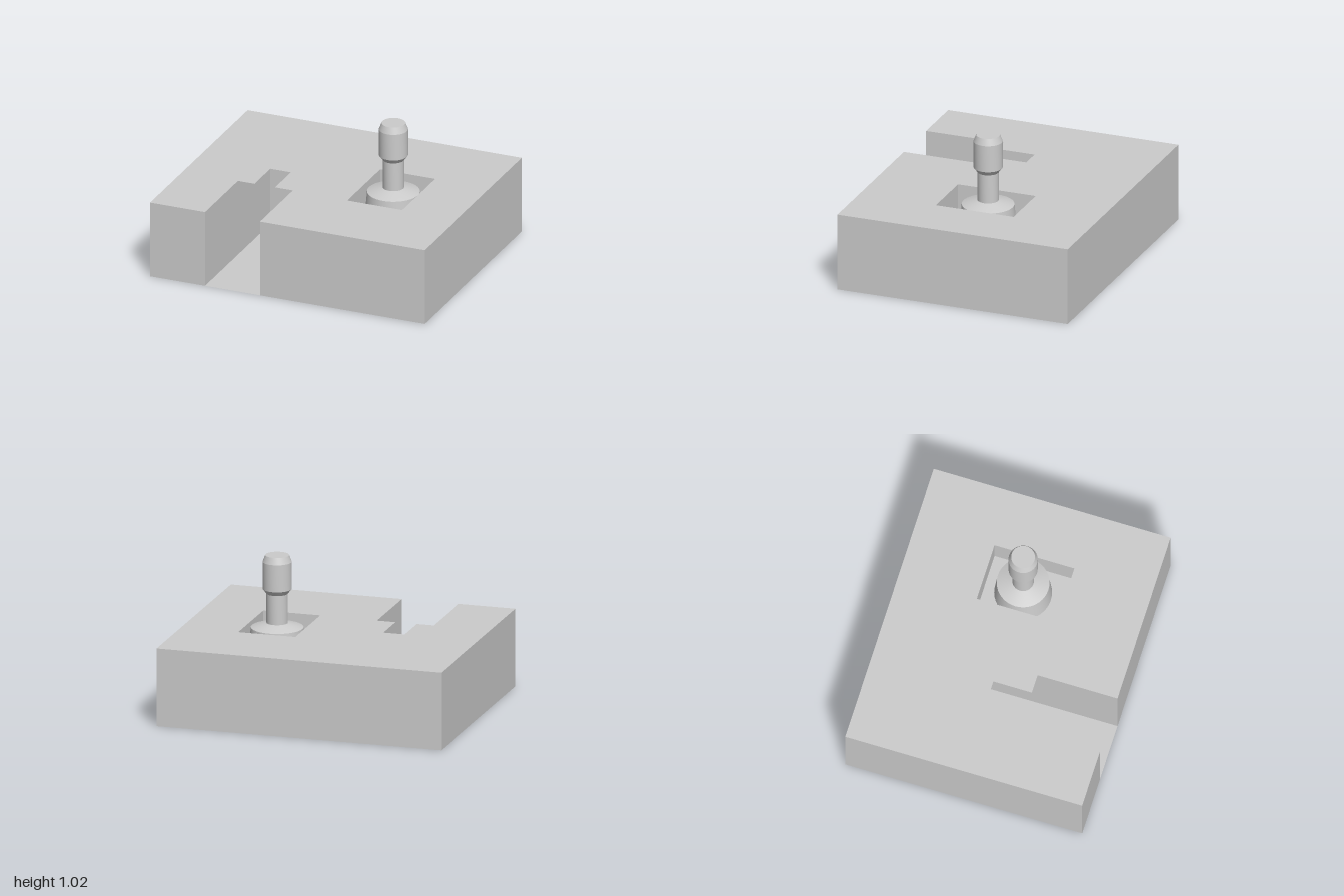
import * as THREE from 'three';
import { toCreasedNormals } from 'three/addons/utils/BufferGeometryUtils.js';

const material = new THREE.MeshStandardMaterial({ color: 0xcccccc, side: THREE.DoubleSide });
const W = 1, D = 0.83, H = 0.54;
const slot = { x0: -0.6, x1: -0.2, z0: -0.28, z1: D };
const pocket = { x0: 0.2, x1: 0.6, z0: -0.28, z1: 0.28, floor: 0.33 };

function add(group, name, geometry) {
  const mesh = new THREE.Mesh(geometry, material);
  mesh.name = name;
  group.add(mesh);
  return mesh;
}

// Upright panel between two plan points, facing right of the direction of travel
function wall(group, name, [xa, za], [xb, zb], y0, y1) {
  const mesh = add(group, name, new THREE.PlaneGeometry(Math.hypot(xb - xa, zb - za), y1 - y0));
  mesh.position.set((xa + xb) / 2, (y0 + y1) / 2, (za + zb) / 2);
  mesh.rotation.y = -Math.atan2(zb - za, xb - xa);
}

function floor(group, name, { x0, x1, z0, z1 }, y) {
  const mesh = add(group, name, new THREE.PlaneGeometry(x1 - x0, z1 - z0).rotateX(-Math.PI / 2));
  mesh.position.set((x0 + x1) / 2, y, (z0 + z1) / 2);
}

const points = (list) => list.map(([x, z]) => new THREE.Vector2(x, -z));

export function createModel() {
  const model = new THREE.Group();
  model.name = 'controlBox';

  // Top sheet with stepped notch at the front and a rectangular pocket opening
  const top = new THREE.Shape(points([
    [-W, D], [slot.x0, D], [slot.x0, 0.27], [-0.48, 0.27], [-0.48, 0], [-0.33, 0],
    [-0.33, 0.27], [slot.x1, 0.27], [slot.x1, D], [W, D], [W, -D], [-W, -D],
  ]));
  const { x0, x1, z0, z1 } = pocket;
  top.holes.push(new THREE.Path(points([[x0, z0], [x1, z0], [x1, z1], [x0, z1]])));
  add(model, 'topPanel', new THREE.ShapeGeometry(top).rotateX(-Math.PI / 2)).position.y = H;

  // Outer casing, open underneath
  wall(model, 'frontWallRight', [-W, D], [slot.x0, D], 0, H);
  wall(model, 'frontWallLeft', [slot.x1, D], [W, D], 0, H);
  wall(model, 'leftWall', [W, D], [W, -D], 0, H);
  wall(model, 'backWall', [W, -D], [-W, -D], 0, H);
  wall(model, 'rightWall', [-W, -D], [-W, D], 0, H);

  // Front bay running back beneath the top panel
  const bay = new THREE.Group();
  bay.name = 'frontBay';
  wall(bay, 'bayRightWall', [slot.x0, D], [slot.x0, slot.z0], 0, H);
  wall(bay, 'bayBackWall', [slot.x0, slot.z0], [slot.x1, slot.z0], 0, H);
  wall(bay, 'bayLeftWall', [slot.x1, slot.z0], [slot.x1, D], 0, H);
  floor(bay, 'bayFloor', slot, 0);
  model.add(bay);

  // Pocket holding the stick
  const well = new THREE.Group();
  well.name = 'stickPocket';
  const corners = [[x0, z1], [x0, z0], [x1, z0], [x1, z1]];
  corners.forEach((c, i) => wall(well, 'pocketWall', c, corners[(i + 1) % 4], pocket.floor, H));
  floor(well, 'pocketFloor', pocket, pocket.floor);
  model.add(well);

  // Turned stick: flared base, stem and bevelled knob
  const stick = new THREE.Group();
  stick.name = 'stick';
  const turned = (name, profile) => add(stick, name, toCreasedNormals(
    new THREE.LatheGeometry(profile.map(([r, y]) => new THREE.Vector2(r, y)), 40), 0.35));
  turned('stickBase', [[0.194, 0.332], [0.177, 0.523], [0.125, 0.54], [0.072, 0.554]]);
  turned('stem', [[0.072, 0.55], [0.072, 0.76]]);
  turned('knob', [[0.072, 0.757], [0.098, 0.79], [0.098, 0.978], [0.08, 1.024], [0, 1.024]]);
  stick.position.set(0.408, 0, -0.02);
  model.add(stick);

  return model;
}
